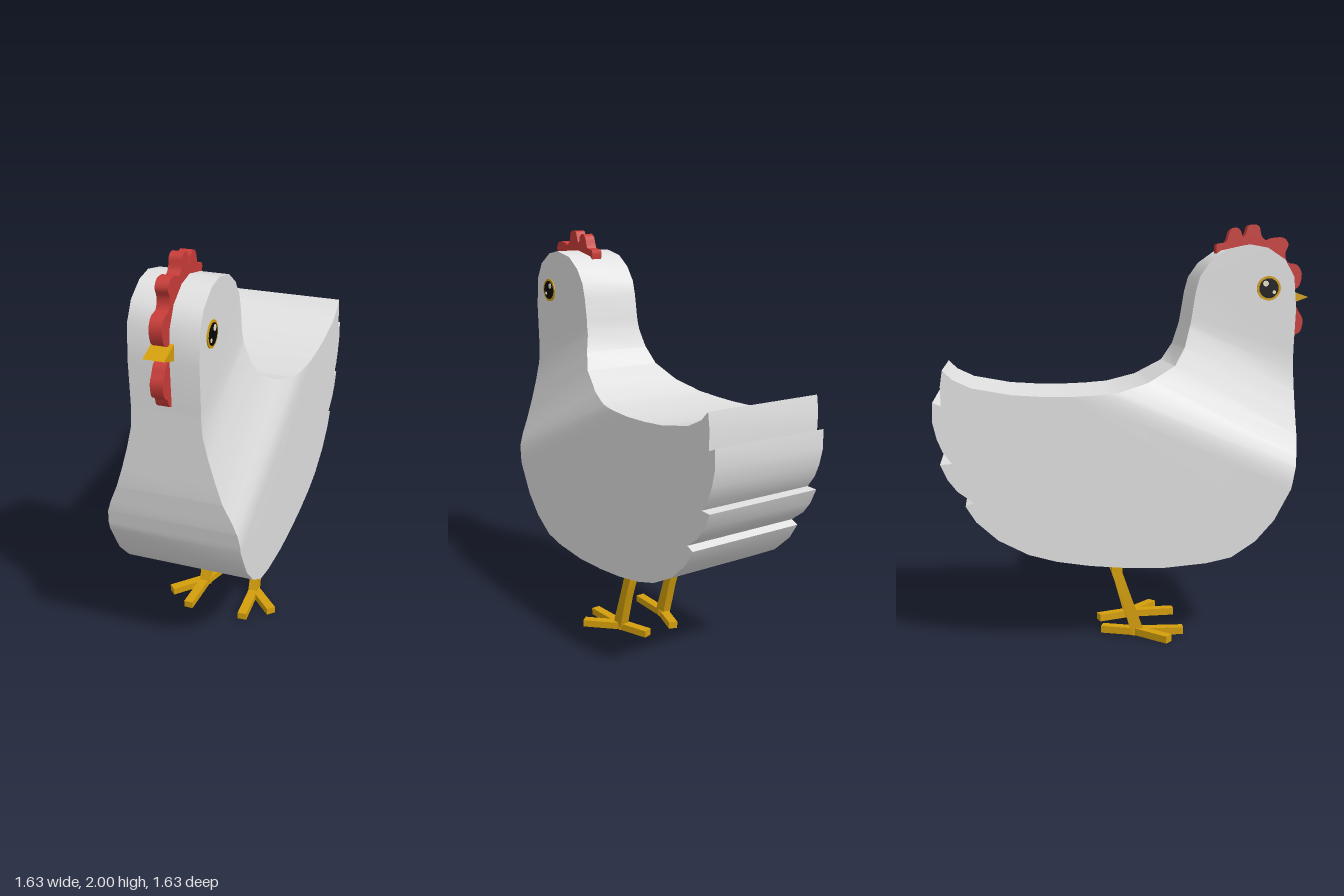
import * as THREE from 'three';
import { toCreasedNormals } from 'three/addons/utils/BufferGeometryUtils.js';

const mat = (name, color) => {
  const m = new THREE.MeshStandardMaterial({ color });
  m.name = name;
  return m;
};

// Local frame: x forward, y up, z sideways; the whole bird is turned at the end.
const OUTLINE = [
  [0.893, 1.6], [0.885, 1.4], [0.885, 1.2], [0.885, 1.0], [0.87, 0.86], [0.846, 0.75], [0.766, 0.6],
  [0.676, 0.5], [0.56, 0.425], [0.44, 0.4], [0.24, 0.384], [0.05, 0.39], [-0.114, 0.405], [-0.27, 0.43],
  [-0.4, 0.467], [-0.54, 0.54], [-0.64, 0.63], [-0.687, 0.705],                       // belly
  [-0.65, 0.722], [-0.722, 0.775], [-0.765, 0.83], [-0.798, 0.902],                   // tail feathers
  [-0.744, 0.905], [-0.785, 0.96], [-0.81, 1.02], [-0.829, 1.1], [-0.826, 1.186],
  [-0.788, 1.17], [-0.79, 1.26], [-0.779, 1.332],
  [-0.737, 1.29], [-0.652, 1.25], [-0.468, 1.216], [-0.33, 1.207], [-0.2, 1.205],     // back
  [-0.08, 1.21], [0.027, 1.22], [0.167, 1.26], [0.3, 1.335], [0.35, 1.42], [0.381, 1.53], // nape
  [0.405, 1.68], [0.424, 1.75], [0.473, 1.82], [0.55, 1.875], [0.664, 1.9],           // head
  [0.749, 1.885], [0.834, 1.83], [0.88, 1.75],
];

// Half thickness narrows along a slanted direction from body to head.
const slant = ([x, y]) => y + 0.4 * x;
const STEPS = [[1.13, 0.305], [1.2, 0.297], [1.26, 0.278], [1.35, 0.24], [1.45, 0.208], [1.55, 0.18], [1.65, 0.157], [1.72, 0.152]];
function halfWidth(p) {
  const t = slant(p);
  if (t <= STEPS[0][0]) return STEPS[0][1];
  for (let i = 1; i < STEPS.length; i++) {
    const [t0, w0] = STEPS[i - 1], [t1, w1] = STEPS[i];
    if (t <= t1) return w0 + ((w1 - w0) * (t - t0)) / (t1 - t0);
  }
  return STEPS[STEPS.length - 1][1];
}

function bodyGeometry() {
  // Split the outline wherever it crosses a fold line.
  const ring = [];
  OUTLINE.forEach((a, i) => {
    const b = OUTLINE[(i + 1) % OUTLINE.length];
    const ta = slant(a), tb = slant(b);
    ring.push(a);
    STEPS.map(([t]) => (t - ta) / (tb - ta))
      .filter((k) => k > 1e-4 && k < 1 - 1e-4)
      .sort((p, q) => p - q)
      .forEach((k) => ring.push([a[0] + (b[0] - a[0]) * k, a[1] + (b[1] - a[1]) * k]));
  });
  const pos = [];
  const put = (p, side) => pos.push(p[0], p[1], side * halfWidth(p));
  // Flat sides, one band between each pair of fold lines
  const cuts = [-9, ...STEPS.map((s) => s[0]), 9];
  for (let c = 0; c + 1 < cuts.length; c++) {
    const band = ring.filter((p) => slant(p) > cuts[c] - 1e-6 && slant(p) < cuts[c + 1] + 1e-6);
    if (band.length < 3) continue;
    const flat = band.map((p) => new THREE.Vector2(...p));
    const cw = THREE.ShapeUtils.isClockWise(flat);
    for (const f of THREE.ShapeUtils.triangulateShape(flat, [])) {
      const [a, b, d] = f.map((i) => band[i]);
      const area = (b[0] - a[0]) * (d[1] - a[1]) - (b[1] - a[1]) * (d[0] - a[0]);
      const tri = area > 0 ? [a, b, d] : [a, d, b];
      tri.forEach((p) => put(p, 1));
      [tri[0], tri[2], tri[1]].forEach((p) => put(p, -1));
    }
  }
  // Rim joining the two sides (outline runs clockwise)
  ring.forEach((a, i) => {
    const b = ring[(i + 1) % ring.length];
    put(a, 1); put(b, 1); put(b, -1);
    put(a, 1); put(b, -1); put(a, -1);
  });
  const g = new THREE.BufferGeometry();
  g.setAttribute('position', new THREE.Float32BufferAttribute(pos, 3));
  return toCreasedNormals(g, 0.6);
}

// Side profile given an even thickness about z = 0
function slab(points, depth, smooth = false) {
  let pts = points.map((p) => new THREE.Vector2(...p));
  if (smooth) pts = new THREE.SplineCurve([...pts, pts[0]]).getPoints(points.length * 3).slice(0, -1);
  const g = new THREE.ExtrudeGeometry(new THREE.Shape(pts), { depth, bevelEnabled: false });
  g.translate(0, 0, -depth / 2);
  return toCreasedNormals(g, 0.6);
}

export function createModel() {
  const white = mat('feather white', 0xe0e0e0);
  const red = mat('comb red', 0xc83c38);
  const gold = mat('leg gold', 0xd49f0c);
  const black = mat('eye black', 0x080808);
  const cream = mat('eye glint', 0xe6e2cc);

  const bird = new THREE.Group();
  bird.name = 'hen';
  const add = (name, geo, material, parent = bird) => {
    const m = new THREE.Mesh(geo, material);
    m.name = name;
    parent.add(m);
    return m;
  };

  add('body', bodyGeometry(), white);

  add('comb', slab([
    [0.53, 1.86], [0.53, 1.905], [0.575, 1.915], [0.593, 1.965], [0.62, 1.985], [0.645, 1.972],
    [0.657, 1.94], [0.672, 1.955], [0.685, 1.992], [0.71, 2.0], [0.738, 1.99], [0.75, 1.945], [0.775, 1.925],
    [0.81, 1.937], [0.86, 1.937], [0.885, 1.905], [0.87, 1.865], [0.882, 1.82],
    [0.93, 1.808], [0.955, 1.765], [0.945, 1.71], [0.915, 1.685], [0.87, 1.68], [0.84, 1.76], [0.76, 1.84], [0.65, 1.87],
  ], 0.055, true), red);
  add('wattle', slab([
    [0.86, 1.62], [0.92, 1.615], [0.945, 1.58], [0.966, 1.54], [0.955, 1.485], [0.925, 1.465], [0.91, 1.43], [0.86, 1.425],
  ], 0.055, true), red);
  add('beak', slab([[0.87, 1.61], [0.985, 1.652], [0.87, 1.692]], 0.09), gold);

  for (const side of [1, -1]) {
    // Eye: stacked thin discs
    const eye = new THREE.Group();
    eye.name = side > 0 ? 'rightEye' : 'leftEye';
    eye.position.set(0.756, 1.695, side * 0.152);
    bird.add(eye);
    const disc = (name, r, x, y, depth, material, n = 20) => {
      const g = new THREE.CylinderGeometry(r, r, depth, n);
      g.rotateX(Math.PI / 2);
      g.translate(x, y, (side * depth) / 2);
      add(name, g, material, eye);
    };
    disc('eyeRing', 0.058, 0, 0, 0.005, gold);
    disc('pupil', 0.047, 0, 0, 0.007, black);
    disc('largeGlint', 0.014, -0.016, 0.022, 0.009, cream, 10);
    disc('smallGlint', 0.009, 0.026, -0.018, 0.009, cream, 10);

    // Leg with a bent knee
    const leg = new THREE.Group();
    leg.name = side > 0 ? 'rightLeg' : 'leftLeg';
    leg.position.z = side * 0.135;
    bird.add(leg);
    add('shank', slab([
      [0.025, 0.42], [0.005, 0.35], [0.008, 0.31], [0.05, 0.2], [0.1, 0.02],
      [0.165, 0.02], [0.1, 0.2], [0.058, 0.32], [0.058, 0.35], [0.075, 0.42],
    ], 0.045), gold, leg);
    // Toes radiate from the ankle
    const toes = { frontToe: [0.36, 0.01], outerToe: [0.27, 0.135], backToe: [-0.035, -0.055] };
    for (const [name, [x, z]] of Object.entries(toes)) {
      const dx = x - 0.13, dz = z * side;
      const len = Math.hypot(dx, dz);
      const g = new THREE.BoxGeometry(len + 0.02, 0.035, 0.045);
      g.translate(len / 2 - 0.01, 0.0175, 0);
      const toe = add(name, g, gold, leg);
      toe.position.x = 0.13;
      toe.rotation.y = Math.atan2(-dz, dx);
    }
  }

  // Face diagonally between front and right
  bird.rotation.y = (-3 * Math.PI) / 4;
  const model = new THREE.Group();
  model.name = 'model';
  model.add(bird);
  return model;
}
